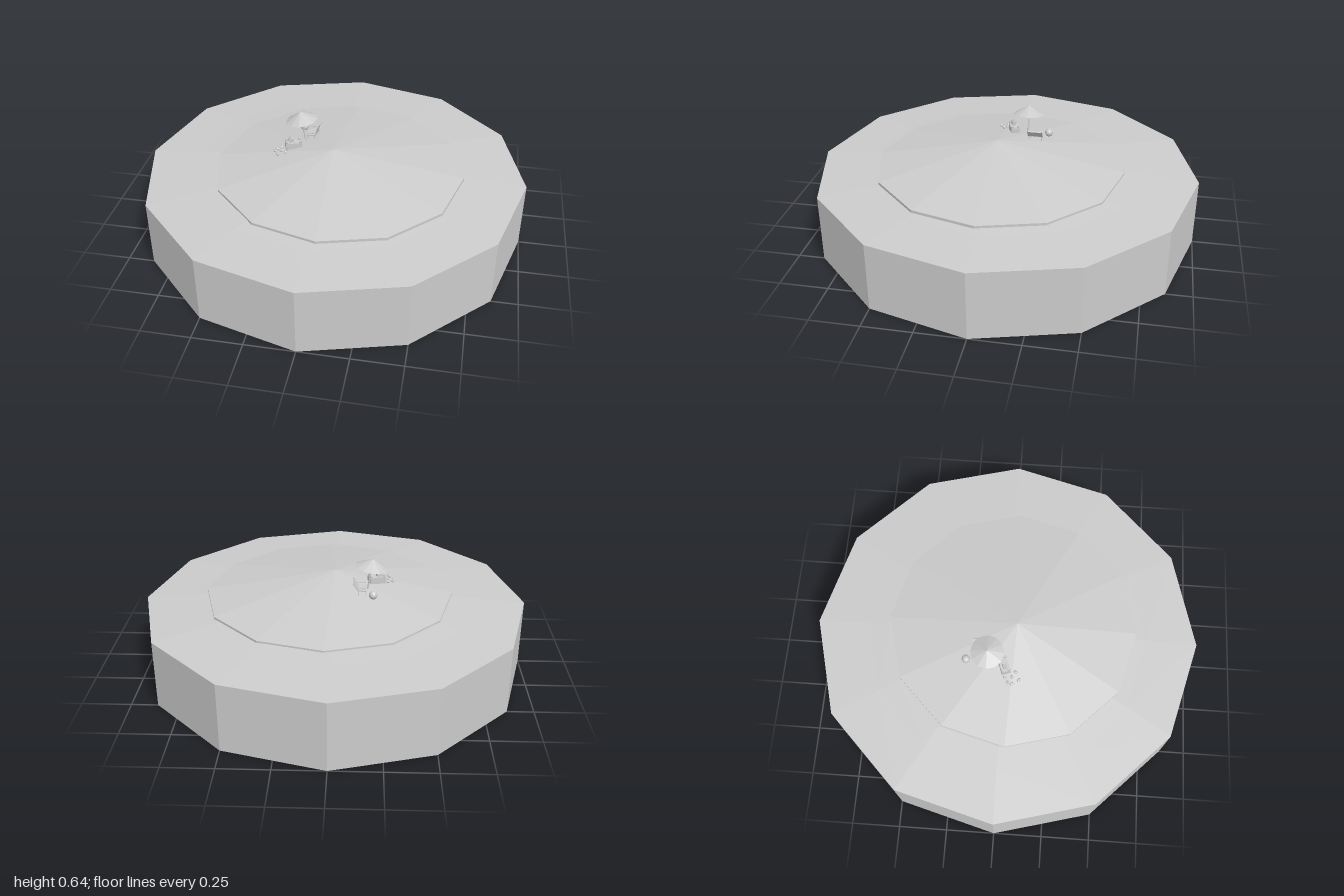
import * as THREE from 'three';

const material = new THREE.MeshStandardMaterial({ color: 0xcccccc, flatShading: true });
const thin = new THREE.MeshStandardMaterial({ color: 0xcccccc, flatShading: true, side: THREE.DoubleSide });

function add(parent, name, geometry, x = 0, y = 0, z = 0, mat = material) {
  const mesh = new THREE.Mesh(geometry, mat);
  mesh.name = name;
  mesh.position.set(x, y, z);
  parent.add(mesh);
  return mesh;
}

function subgroup(parent, name, x, y, z) {
  const g = new THREE.Group();
  g.name = name;
  g.position.set(x, y, z);
  parent.add(g);
  return g;
}

const box = (w, h, d) => new THREE.BoxGeometry(w, h, d);
const profile = (points) => new THREE.LatheGeometry(points.map(([r, y]) => new THREE.Vector2(r, y)), 12);

// Height of the sand mound at a point near its top
const sandHeight = (x, z) => 0.503 - 0.16 * Math.hypot(x, z - 0.055);

function createIsland(parent) {
  // Twelve-sided block with a shallow rising shore
  add(parent, 'base', profile([[0, 0], [1, 0], [1, 0.355]]));
  add(parent, 'shore', profile([[1, 0.355], [0.73, 0.376], [0.62, 0.386], [0, 0.39]]));

  // Low sand mound with a thin lip and an off-centre peak
  const mound = profile([[0.65, 0.374], [0.65, 0.394], [0, 0.505]]);
  const p = mound.attributes.position;
  for (let i = 0; i < p.count; i++) {
    if (p.getY(i) > 0.5) p.setXYZ(i, -0.03, 0.505, 0.025);
  }
  add(parent, 'sandMound', mound, 0.03, 0, 0.03);
}

function createUmbrella(parent) {
  const g = subgroup(parent, 'umbrella', -0.172, 0.455, -0.085);
  g.rotation.z = 0.15;
  add(g, 'umbrellaPole', new THREE.CylinderGeometry(0.004, 0.004, 0.17, 8), 0, 0.085, 0);
  add(g, 'umbrellaCanopy', new THREE.ConeGeometry(0.085, 0.047, 12, 1, true), 0, 0.155, 0, thin);
  add(g, 'umbrellaTip', new THREE.ConeGeometry(0.004, 0.01, 6), 0, 0.18, 0);
}

function createChair(parent) {
  // Reclined chair facing -x
  const g = subgroup(parent, 'beachChair', -0.145, 0.475, -0.13);
  add(g, 'chairSeat', box(0.045, 0.006, 0.075), 0, 0.012, 0).rotation.z = 0.1;
  const back = subgroup(g, 'chairBack', 0.02, 0.013, 0);
  back.rotation.z = -0.6;
  add(back, 'backPanel', box(0.006, 0.042, 0.075), 0, 0.02, 0);
  for (const s of [-1, 1]) {
    add(back, 'backPost', box(0.005, 0.05, 0.005), 0, 0.023, s * 0.037);
    add(g, 'armRest', box(0.045, 0.004, 0.006), 0.005, 0.027, s * 0.037);
    for (const x of [-0.018, 0.018]) add(g, 'chairLeg', box(0.004, 0.03, 0.004), x, 0.002, s * 0.034);
  }
}

function createCastle(parent) {
  // Sand castle with corner towers and a central keep
  const g = subgroup(parent, 'sandCastle', -0.22, 0.465, 0);
  g.rotation.y = 0.36;
  add(g, 'castleWall', box(0.085, 0.036, 0.045), 0, 0.014, 0);
  for (const x of [-0.035, 0.035]) {
    for (const z of [-0.016, 0.016]) {
      add(g, 'castleTower', new THREE.CylinderGeometry(0.007, 0.008, 0.048, 8), x, 0.018, z);
    }
  }
  add(g, 'castleKeep', box(0.025, 0.025, 0.02), -0.012, 0.042, 0);
  add(g, 'keepTop', new THREE.CylinderGeometry(0.005, 0.006, 0.014, 8), -0.015, 0.059, 0);
}

export function createModel() {
  const model = new THREE.Group();
  model.name = 'beachIsland';
  createIsland(model);
  createUmbrella(model);
  createChair(model);
  createCastle(model);

  // Beach ball
  add(model, 'beachBall', new THREE.SphereGeometry(0.022, 12, 8), -0.2, 0.48, -0.195);

  // Pebbles scattered beside the castle
  const pebbles = [[-0.305, 0.025], [-0.28, 0.008], [-0.31, 0.045], [-0.275, 0.045], [-0.25, 0.062], [-0.288, 0.08]];
  pebbles.forEach(([x, z], i) => {
    const stone = add(model, 'pebble', new THREE.IcosahedronGeometry(0.011, 0), x, sandHeight(x, z) + 0.005, z);
    stone.scale.set(1.1, 0.8, 0.8);
    stone.rotation.y = i * 1.1;
  });
  return model;
}
